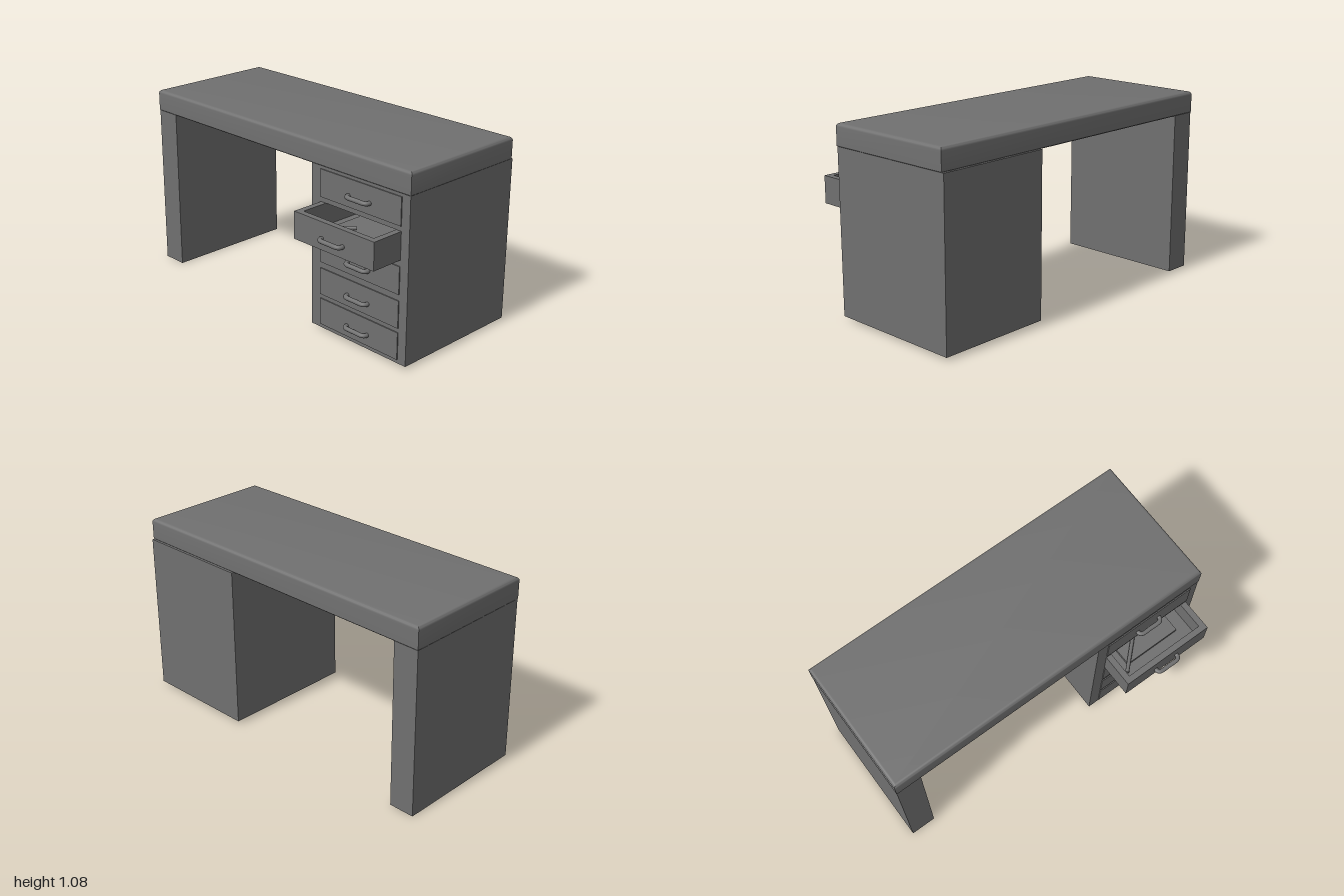
import * as THREE from 'three';
import { toCreasedNormals } from 'three/addons/utils/BufferGeometryUtils.js';

const material = new THREE.MeshStandardMaterial({ color: 0x707070 });

function add(parent, name, geometry) {
  const mesh = new THREE.Mesh(geometry, material);
  mesh.name = name;
  parent.add(mesh);
  return mesh;
}

// Box given by its limits on each axis
function box(parent, name, [x0, x1], [y0, y1], [z0, z1]) {
  const mesh = add(parent, name, new THREE.BoxGeometry(x1 - x0, y1 - y0, z1 - z0));
  mesh.position.set((x0 + x1) / 2, (y0 + y1) / 2, (z0 + z1) / 2);
  return mesh;
}

// Slab with a rounded upper rim and a small lower chamfer, from stacked rectangular rings
function slabGeometry([x0, x1], [y0, y1], [z0, z1], r, chamfer, steps = 6) {
  const rings = [[y0, chamfer], [y0 + chamfer, 0]];
  for (let i = 0; i <= steps; i++) {
    const a = (i / steps) * Math.PI / 2;
    rings.push([y1 - r + r * Math.sin(a), r - r * Math.cos(a)]);
  }
  const pos = [];
  for (const [y, d] of rings) {
    pos.push(x0 + d, y, z1 - d, x1 - d, y, z1 - d, x1 - d, y, z0 + d, x0 + d, y, z0 + d);
  }
  const index = [0, 2, 1, 0, 3, 2];
  for (let k = 0; k < rings.length - 1; k++) {
    for (let j = 0; j < 4; j++) {
      const a = k * 4 + j, b = k * 4 + (j + 1) % 4;
      index.push(a, b, b + 4, a, b + 4, a + 4);
    }
  }
  const t = (rings.length - 1) * 4;
  index.push(t, t + 1, t + 2, t, t + 2, t + 3);
  const geometry = new THREE.BufferGeometry();
  geometry.setAttribute('position', new THREE.Float32BufferAttribute(pos, 3));
  geometry.setIndex(index);
  return toCreasedNormals(geometry, 0.6);
}

// Rectangle outline for shapes and holes
function outline(path, [x0, x1], [y0, y1]) {
  path.moveTo(x0, y0).lineTo(x1, y0).lineTo(x1, y1).lineTo(x0, y1).closePath();
  return path;
}

// Bowed pull handle, standing out along +z
function handleGeometry() {
  const path = new THREE.CatmullRomCurve3([
    [-0.073, -0.005], [-0.073, 0.013], [-0.061, 0.026], [0, 0.028],
    [0.061, 0.026], [0.073, 0.013], [0.073, -0.005],
  ].map(([x, z]) => new THREE.Vector3(x, 0, z)));
  return new THREE.TubeGeometry(path, 40, 0.0125, 12);
}

export function createModel() {
  const desk = new THREE.Group();
  desk.name = 'desk';
  const front = 0.287, back = -0.508, face = front - 0.002;
  const xs = [0.379, 0.943], openY = [0.6, 0.755];

  // Worktop and side panel
  add(desk, 'worktop', slabGeometry([-1, 1], [0.953, 1.08], [back, front], 0.02, 0.005));
  box(desk, 'sidePanel', [-0.998, -0.848], [0, 0.955], [back + 0.002, face]);

  // Cabinet with an opening for the pulled-out drawer
  const cabinet = outline(new THREE.Shape(), [0.31, 0.997], [0.018, 0.955]);
  cabinet.holes.push(outline(new THREE.Path(), xs, openY));
  const cabinetBack = -0.5;
  add(desk, 'cabinet', new THREE.ExtrudeGeometry(cabinet, {
    depth: face - cabinetBack, bevelEnabled: false,
  })).position.z = cabinetBack;
  box(desk, 'cabinetBack', [0.31, 0.997], [0.018, 0.955], [-0.52, cabinetBack]);

  const handle = handleGeometry();
  function addHandle(parent, y, z) {
    add(parent, 'handle', handle).position.set(0.658, y, z);
  }

  // Closed drawers
  for (const [y0, y1, handleY] of [
    [0.04, 0.195, 0.103], [0.22, 0.375, 0.284], [0.41, 0.565, 0.473], [0.783, 0.938, 0.846],
  ]) {
    const drawer = new THREE.Group();
    drawer.name = 'closedDrawer';
    box(drawer, 'drawerFront', xs, [y0, y1], [0.25, front + 0.004]);
    addHandle(drawer, handleY, front + 0.002);
    desk.add(drawer);
  }

  // Open drawer: hollow tray pulled out of the cabinet
  const open = new THREE.Group();
  open.name = 'openDrawer';
  const w = 0.035, tip = 0.48, rear = -0.28;
  const inner = [xs[0] + w, xs[1] - w];
  box(open, 'drawerFront', xs, openY, [tip - w, tip]);
  box(open, 'drawerRear', inner, openY, [rear, rear + w]);
  for (const x of [xs[0], inner[1]]) {
    box(open, 'drawerSide', [x, x + w], openY, [rear, tip - w]);
  }
  box(open, 'drawerFloor', inner, [0.6, 0.63], [rear, tip - w]);
  addHandle(open, 0.664, tip);

  // Contents: a sheet stack with a pencil across it
  box(open, 'paper', [0.484, 0.833], [0.63, 0.65], [-0.1, 0.36]);
  const from = new THREE.Vector3(0.445, 0.661, 0.4), to = new THREE.Vector3(0.605, 0.661, 0.25);
  const direction = to.clone().sub(from);
  const pencil = add(open, 'pencil', new THREE.CylinderGeometry(0.011, 0.011, direction.length(), 8));
  pencil.position.copy(from).add(to).multiplyScalar(0.5);
  pencil.quaternion.setFromUnitVectors(new THREE.Vector3(0, 1, 0), direction.normalize());
  desk.add(open);

  return desk;
}
